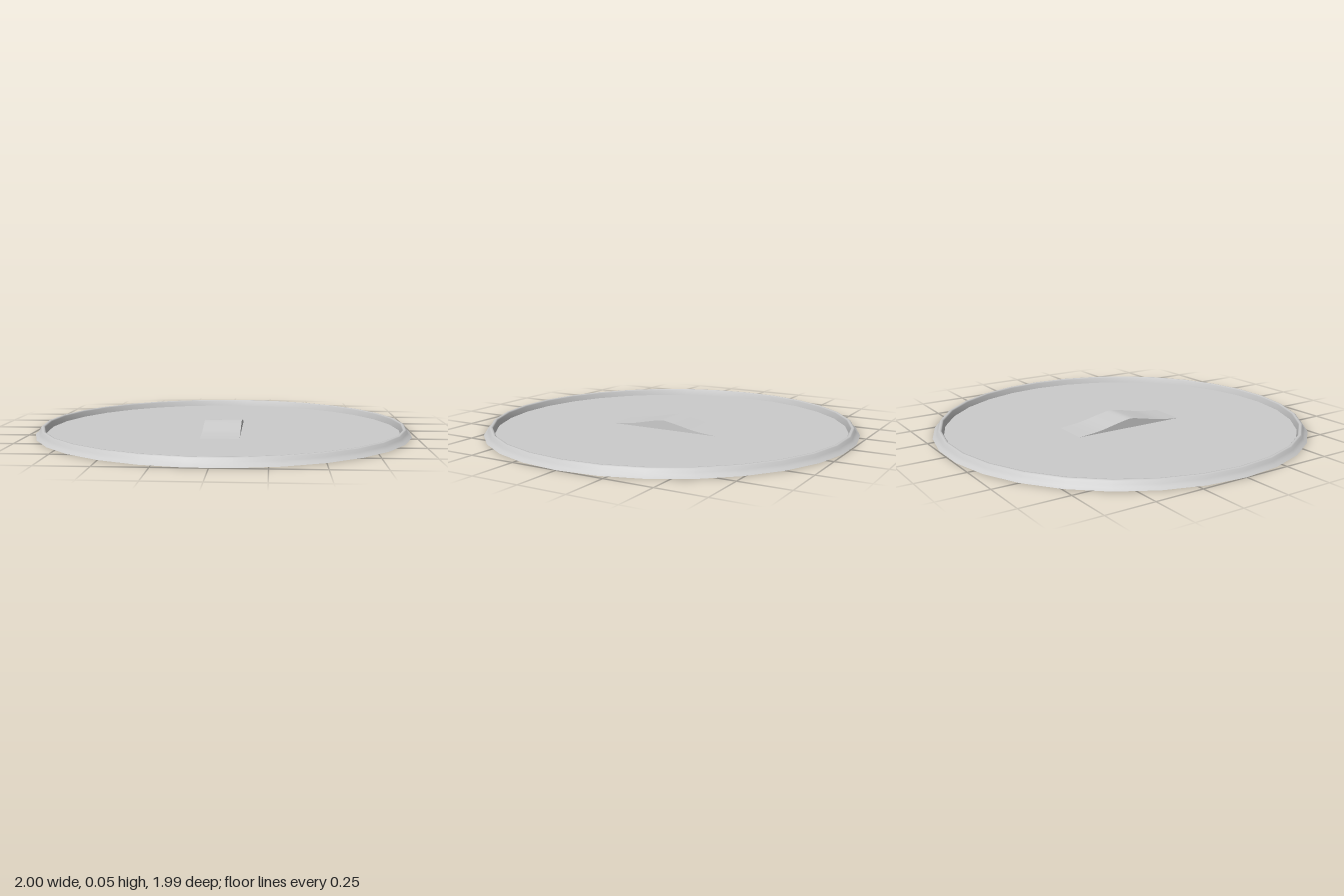
import * as THREE from 'three';

const SIDES = 30;
const FLOOR = 0.004;
const GRIP_W = 0.1;   // half width of the raised grip
const GRIP_L = 0.32;  // half length of the raised grip

export function createModel() {
  const group = new THREE.Group();
  const material = new THREE.MeshStandardMaterial({ color: 0xcccccc, side: THREE.DoubleSide });
  const add = (name, geometry) => {
    const mesh = new THREE.Mesh(geometry, material);
    mesh.name = name;
    group.add(mesh);
    return mesh;
  };
  const start = Math.PI / SIDES;

  // Hollow raised rim: flared skirt, rounded crest, steep inner wall
  const rim = [[1, 0], [0.987, 0.01], [0.977, 0.022], [0.971, 0.036], [0.965, 0.04],
    [0.956, 0.04], [0.951, 0.034], [0.944, FLOOR]].map(([r, y]) => new THREE.Vector2(r, y));
  add('rim', new THREE.LatheGeometry(rim, SIDES, start));

  // Thin floor with an opening beneath the pressed grip
  const outline = [];
  for (let i = 0; i < SIDES; i++) {
    const a = start + (i / SIDES) * Math.PI * 2;
    outline.push(new THREE.Vector2(0.944 * Math.sin(a), 0.944 * Math.cos(a)));
  }
  const floorShape = new THREE.Shape(outline);
  floorShape.holes.push(new THREE.Path([[-1, -1], [1, -1], [1, 1], [-1, 1]]
    .map(([x, z]) => new THREE.Vector2(x * GRIP_W, z * GRIP_L))));
  const floor = new THREE.ShapeGeometry(floorShape);
  floor.rotateX(-Math.PI / 2);
  floor.translate(0, FLOOR, 0);
  add('floor', floor);

  // Bell-shaped profile of the grip along z
  const half = [[GRIP_L, FLOOR], [0.2, 0.016], [0.1, 0.036], [0.05, 0.046]];
  const profile = new THREE.SplineCurve([
    ...half.map(([z, y]) => new THREE.Vector2(-z, y)),
    new THREE.Vector2(0, 0.053),
    ...half.reverse().map(([z, y]) => new THREE.Vector2(z, y)),
  ]).getPoints(32);

  // Arched top of the grip
  const arch = new THREE.PlaneGeometry(GRIP_W * 2, 1, 1, profile.length - 1);
  arch.rotateX(-Math.PI / 2);
  const pos = arch.attributes.position;
  for (let i = 0; i < pos.count; i++) {
    const p = profile[Math.floor(i / 2)];
    pos.setY(i, p.y);
    pos.setZ(i, p.x);
  }
  arch.computeVertexNormals();
  add('gripTop', arch);

  // Side walls closing the arch down to the floor
  for (const side of [-1, 1]) {
    const wall = new THREE.ShapeGeometry(new THREE.Shape(profile.map(p => new THREE.Vector2(p.x, p.y))));
    wall.rotateY(side * Math.PI / 2);
    wall.translate(side * GRIP_W, 0, 0);
    add(side > 0 ? 'gripLeftWall' : 'gripRightWall', wall);
  }
  return group;
}
